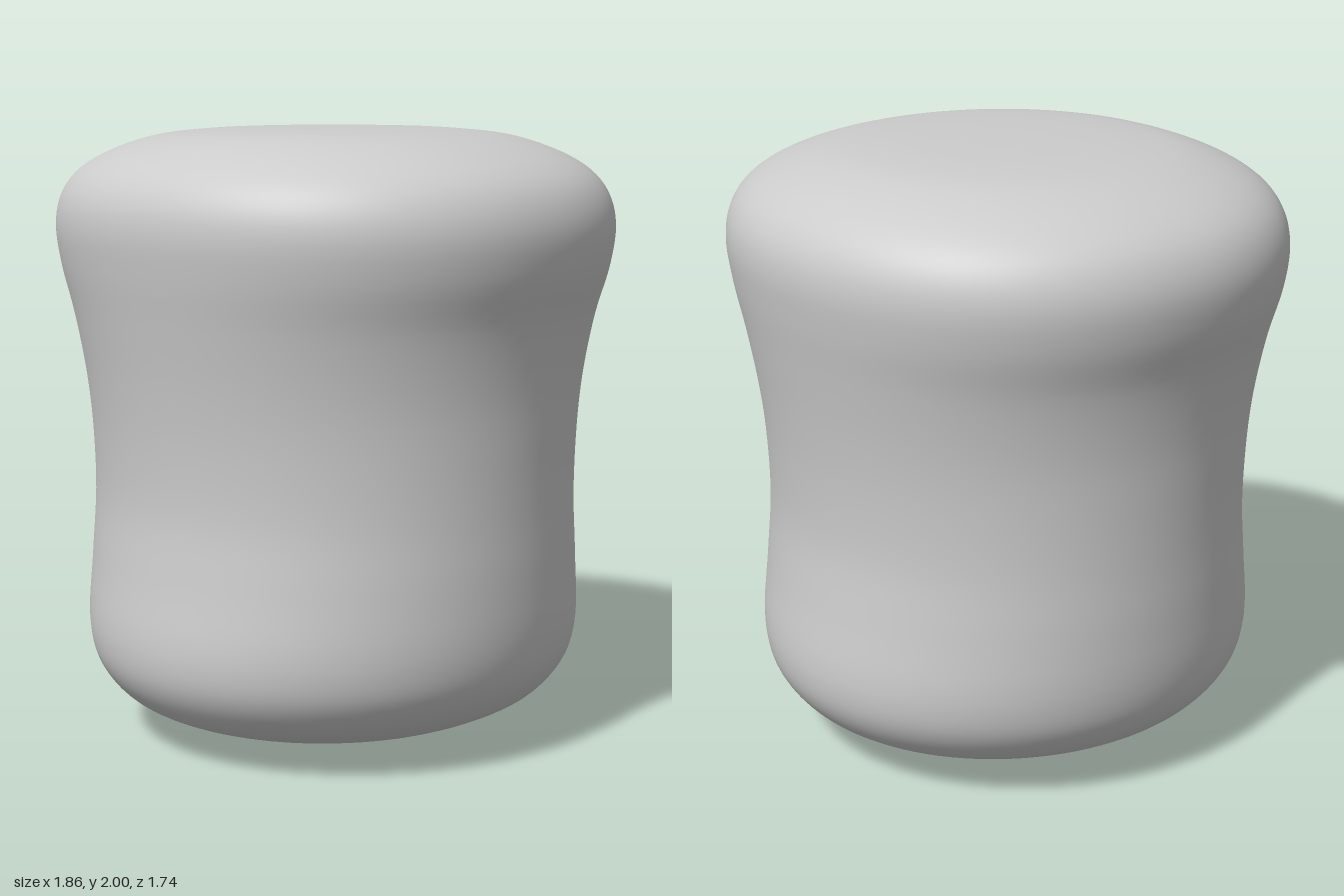
import * as THREE from 'three';

// Body stations from base to top: [half width x, height y, half depth z]
const STATIONS = [
  [0, 0, 0], [0.2, 0.008, 0.2], [0.4, 0.042, 0.41], [0.58, 0.095, 0.62], [0.7, 0.165, 0.74],
  [0.775, 0.265, 0.81], [0.805, 0.38, 0.828], [0.815, 0.6, 0.80], [0.815, 0.8, 0.778],
  [0.82, 1.0, 0.782], [0.832, 1.2, 0.802], [0.865, 1.4, 0.832], [0.915, 1.56, 0.858],
  [0.93, 1.68, 0.87], [0.915, 1.76, 0.86], [0.875, 1.83, 0.825], [0.79, 1.895, 0.75],
  [0.6, 1.965, 0.58], [0.4, 1.99, 0.4], [0.2, 1.998, 0.2], [0, 2, 0],
];
const RINGS = 100;
const SIDES = 96;

// Slightly squared ellipse: exponent 2 is a true ellipse
const rounded = (c, n) => Math.sign(c) * Math.abs(c) ** (2 / n);

function loftBody() {
  const curve = new THREE.CatmullRomCurve3(STATIONS.map((p) => new THREE.Vector3(...p)));
  const positions = [];
  const indices = [];
  for (let i = 0; i <= RINGS; i++) {
    const p = curve.getPoint(i / RINGS);
    const n = 2 + 0.1 * THREE.MathUtils.smoothstep(p.y, 1, 1.7);
    for (let j = 0; j < SIDES; j++) {
      const a = (j / SIDES) * Math.PI * 2;
      positions.push(p.x * rounded(Math.cos(a), n), p.y, p.z * rounded(Math.sin(a), n));
      if (i === RINGS) continue;
      const k = (j + 1) % SIDES;
      const [b0, b1, t0, t1] = [i * SIDES + j, i * SIDES + k, (i + 1) * SIDES + j, (i + 1) * SIDES + k];
      if (i > 0) indices.push(b0, t0, b1);
      if (i < RINGS - 1) indices.push(b1, t0, t1);
    }
  }
  const geometry = new THREE.BufferGeometry();
  geometry.setAttribute('position', new THREE.Float32BufferAttribute(positions, 3));
  geometry.setIndex(indices);
  geometry.computeVertexNormals();
  return geometry;
}

export function createModel() {
  const group = new THREE.Group();
  group.name = 'softStool';
  // One soft waisted body with a domed base and a flat cushioned top
  const body = new THREE.Mesh(loftBody(), new THREE.MeshStandardMaterial({ color: 0xcccccc }));
  body.name = 'body';
  group.add(body);
  return group;
}
